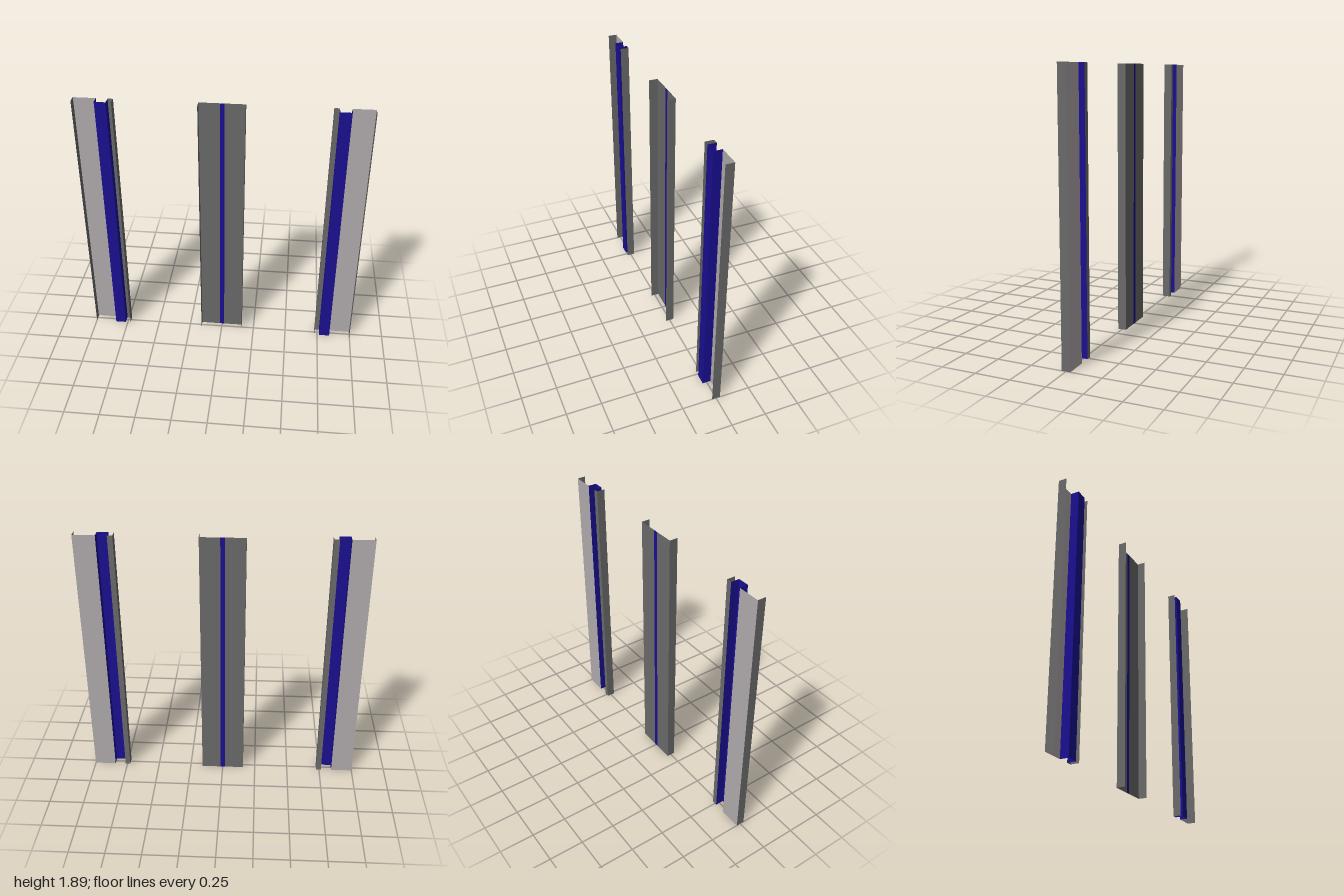
import * as THREE from 'three';

const HEIGHT = 1.895;
const BACK = -0.03, FRONT = 0.03;

const sheet = (color) => new THREE.MeshStandardMaterial({ color, side: THREE.DoubleSide });
const dark = sheet(0x6a6a6a);
const pale = sheet(0xb1abad);
const blue = sheet(0x1a0f91);

// Upright folded sheet following a plan outline of [x, z] points
function foldedSheet(name, points, material) {
  const group = new THREE.Group();
  group.name = name;
  for (let i = 0; i < points.length - 1; i++) {
    const [x0, z0] = points[i], [x1, z1] = points[i + 1];
    const panel = new THREE.Mesh(
      new THREE.PlaneGeometry(Math.hypot(x1 - x0, z1 - z0), HEIGHT), material);
    panel.name = name + 'Panel';
    panel.position.set((x0 + x1) / 2, HEIGHT / 2, (z0 + z1) / 2);
    panel.rotation.y = -Math.atan2(z1 - z0, x1 - x0);
    group.add(panel);
  }
  return group;
}

// Outer post: flange, pale web, projecting blue rib, narrow inner angle
function sidePost(name, s) {
  const post = new THREE.Group();
  post.name = name;
  post.add(
    foldedSheet('outerFlange', [[s, FRONT], [s, BACK]], dark),
    foldedSheet('paleWeb', [[s, BACK], [s * 0.844, BACK]], pale),
    foldedSheet('blueRib', [[s * 0.844, BACK], [s * 0.844, FRONT],
      [s * 0.765, FRONT], [s * 0.765, BACK]], blue),
    foldedSheet('innerAngle', [[s * 0.765, BACK], [s * 0.728, BACK],
      [s * 0.728, FRONT]], dark));
  return post;
}

// Middle post: shallow channel with a blue stripe down the web
function centrePost() {
  const post = new THREE.Group();
  post.name = 'centrePost';
  for (const s of [-1, 1]) {
    post.add(foldedSheet(s < 0 ? 'rightChannelHalf' : 'leftChannelHalf',
      [[s * 0.158, FRONT], [s * 0.158, BACK], [s * 0.016, BACK]], dark));
  }
  post.add(foldedSheet('blueStripe', [[-0.016, BACK], [0.016, BACK]], blue));
  return post;
}

export function createModel() {
  const model = new THREE.Group();
  model.name = 'sheetMetalPosts';
  model.add(sidePost('rightPost', -1), centrePost(), sidePost('leftPost', 1));
  return model;
}
